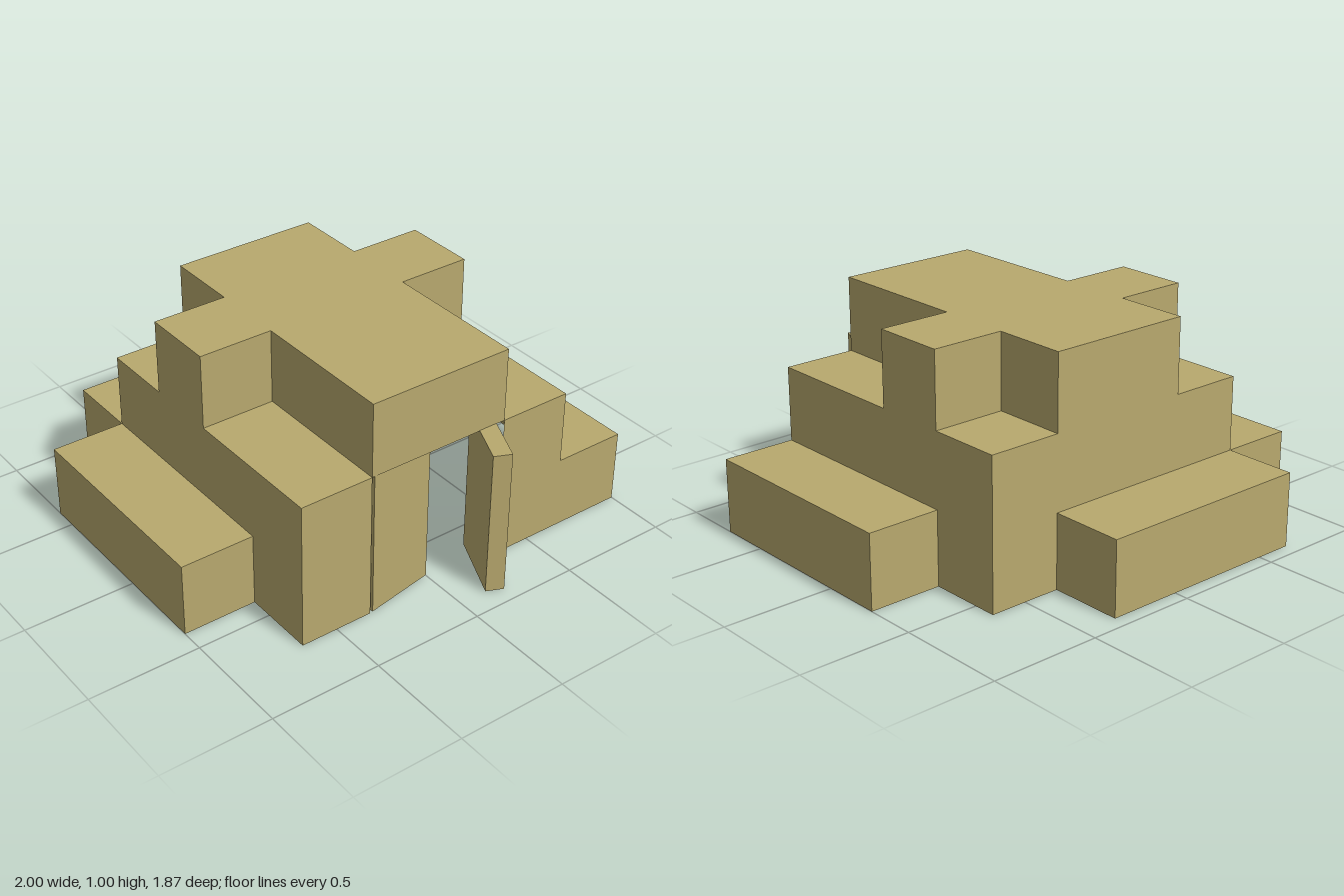
import * as THREE from 'three';
import { mergeGeometries } from 'three/addons/utils/BufferGeometryUtils.js';

const U = 1 / 3;            // block size
const X0 = -1, FRONT = 0.73, Z0 = FRONT - 5 * U;

// block heights, rows from back to front, columns from -x to +x
const HEIGHTS = [
  [0, 1, 1, 1, 0, 0],
  [1, 2, 3, 3, 2, 0],
  [1, 3, 3, 3, 3, 1],
  [1, 2, 3, 3, 2, 1],
  [0, 2, 3, 3, 2, 1],
];
const heightAt = (r, c) => HEIGHTS[r]?.[c] ?? 0;
const isDoorway = (r, c) => r === 4 && (c === 2 || c === 3);

const material = new THREE.MeshStandardMaterial({
  color: 0xb8a96e, flatShading: true, side: THREE.DoubleSide,
});

// wall panel centred at x, z, facing the given angle, between two block levels
function panel(x, z, angle, low, high) {
  return new THREE.PlaneGeometry(U, (high - low) * U)
    .rotateY(angle)
    .translate(x, (low + high) * U / 2, z);
}

function addMesh(parent, name, geometry) {
  const mesh = new THREE.Mesh(geometry, material);
  mesh.name = name;
  parent.add(mesh);
  return mesh;
}

// hollow stepped shell, open underneath
function buildShell(group) {
  const roofs = [], walls = [];
  const sides = [[1, 0, 0], [0, 1, Math.PI / 2], [-1, 0, Math.PI], [0, -1, -Math.PI / 2]];
  HEIGHTS.forEach((row, r) => row.forEach((h, c) => {
    if (!h) return;
    const x = X0 + (c + 0.5) * U, z = Z0 + (r + 0.5) * U;
    roofs.push(new THREE.PlaneGeometry(U, U).rotateX(-Math.PI / 2).translate(x, h * U, z));
    for (const [dr, dc, angle] of sides) {
      let low = heightAt(r + dr, c + dc);
      if (dr === 1 && isDoorway(r, c)) low = 2;   // leave the entrance open
      if (low < h) walls.push(panel(x + dc * U / 2, z + dr * U / 2, angle, low, h));
    }
  }));
  addMesh(group, 'steppedRoof', mergeGeometries(roofs));
  addMesh(group, 'walls', mergeGeometries(walls));
}

// door leaf hinged at its outer front corner; side is +1 or -1 in x
function buildDoor(group, name, side, hingeX, hingeZ, swing) {
  const width = 0.325, height = 0.667, thickness = 0.08;
  const leaf = new THREE.BoxGeometry(width, height, thickness)
    .translate(-side * width / 2, height / 2, -thickness / 2);
  const door = addMesh(group, name, leaf);
  door.position.set(hingeX, 0.002, hingeZ);
  door.rotation.y = swing;
}

export function createModel() {
  const group = new THREE.Group();
  group.name = 'rockHut';
  buildShell(group);
  buildDoor(group, 'leftDoor', 1, 0.333, 0.636, THREE.MathUtils.degToRad(66));
  buildDoor(group, 'rightDoor', -1, -0.32, 0.729, THREE.MathUtils.degToRad(10));
  return group;
}
